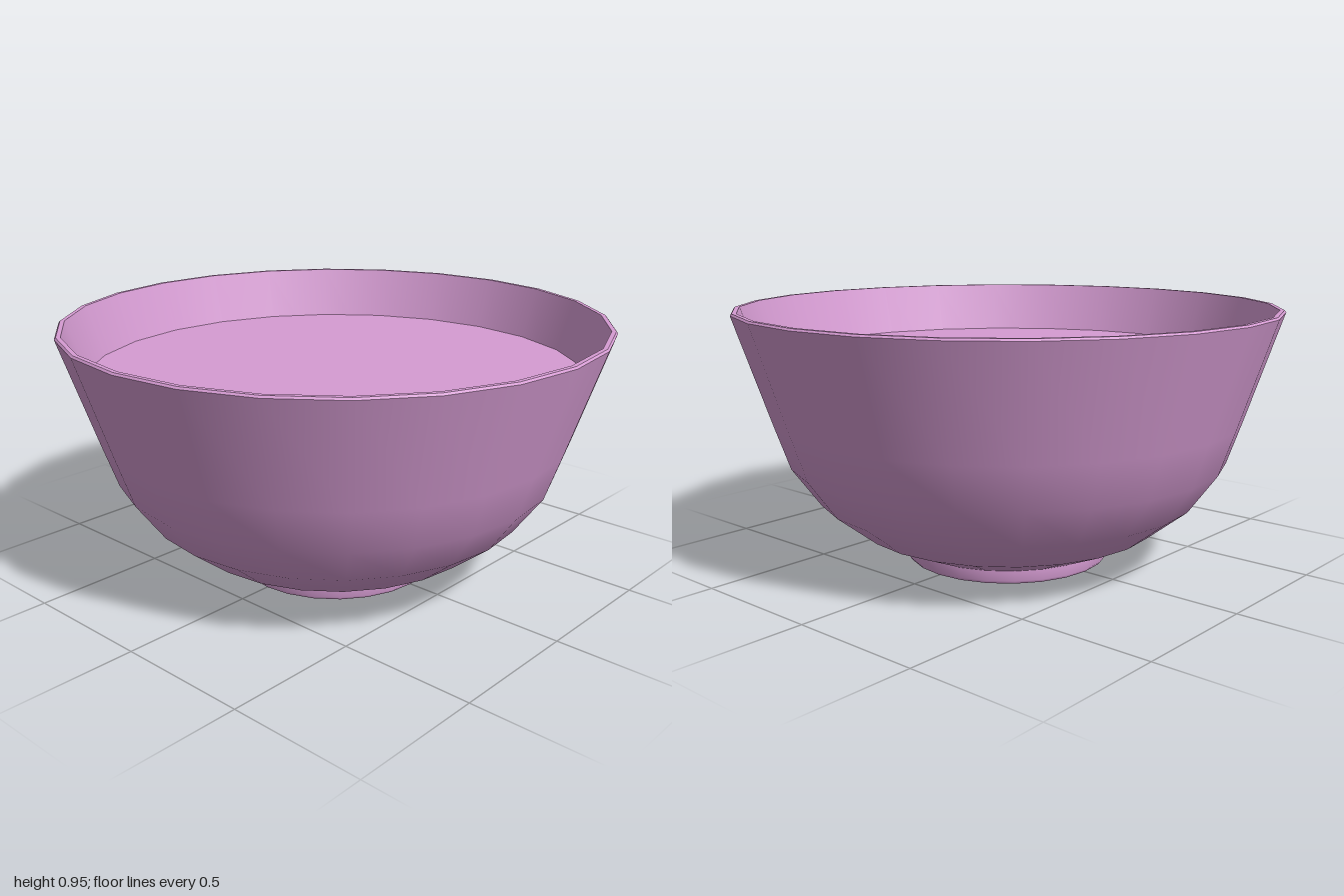
import * as THREE from 'three';

const SIDES = 24;

export function createModel() {
  const bowl = new THREE.Group();
  bowl.name = 'bowl';
  const material = new THREE.MeshStandardMaterial({ color: 0xd69cd3 });

  // Turns a [radius, height] profile; separate profiles keep a sharp edge between them
  const turn = (name, profile, parent = bowl) => {
    const points = profile.map(([r, y]) => new THREE.Vector2(r, y));
    const mesh = new THREE.Mesh(new THREE.LatheGeometry(points, SIDES), material);
    mesh.name = name;
    parent.add(mesh);
  };

  // Foot ring with a softened lower edge
  const foot = new THREE.Group();
  foot.name = 'foot';
  bowl.add(foot);
  turn('footUnderside', [[0, 0], [0.375, 0]], foot);
  turn('footSide', [[0.375, 0], [0.385, 0.012], [0.385, 0.05]], foot);

  // Curved outer wall
  turn('outerWall', [
    [0.38, 0.048], [0.56, 0.125], [0.71, 0.243],
    [0.815, 0.388], [0.87, 0.548], [1, 0.942],
  ]);

  // Narrow rim with a slight bevel on the outside
  turn('rimBevel', [[1, 0.942], [0.994, 0.949]]);
  turn('rim', [[0.994, 0.949], [0.978, 0.949]]);

  // Inner wall and floor
  turn('innerWall', [
    [0.978, 0.949], [0.845, 0.548], [0.79, 0.4],
    [0.69, 0.265], [0.545, 0.15], [0.37, 0.08], [0, 0.08],
  ]);

  // Flat surface of the contents
  turn('contents', [[0.915, 0.757], [0, 0.757]]);

  return bowl;
}
